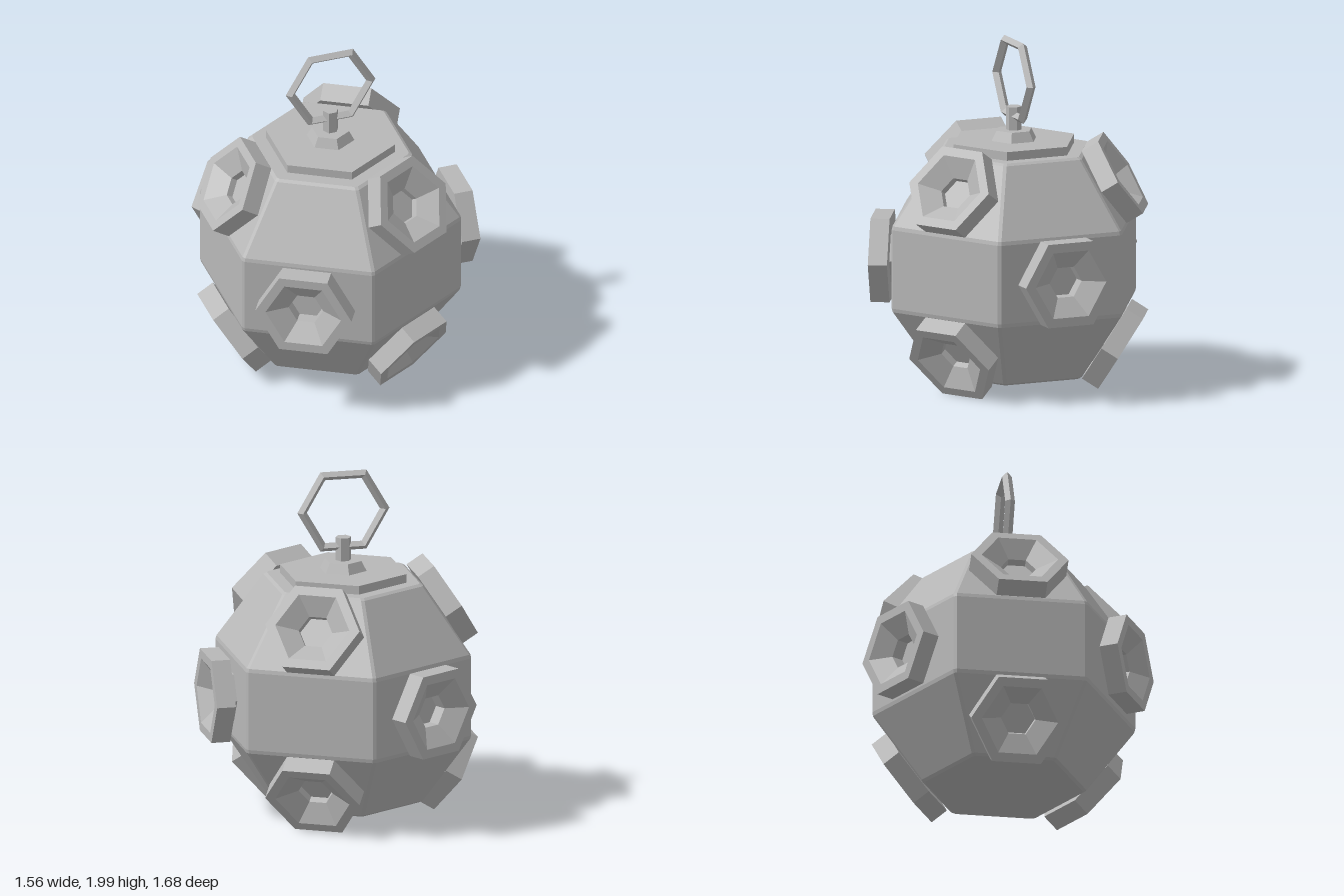
import * as THREE from 'three';

const AXIS_X = -0.027; // vertical axis of the body
const MID_Y = 0.725;   // height of the body's middle

const profile = (pairs) => pairs.map(([r, y]) => new THREE.Vector2(r, y));

// Six-sided body with small chamfers on every edge
function bodyGeometry() {
  const half = [[0.66, 0.228], [0.655, 0.25], [0.414, 0.633], [0.396, 0.645], [0, 0.645]];
  const lower = half.map(([a, y]) => [a, -y]).reverse();
  const points = profile([...lower, ...half]);
  const geometry = new THREE.LatheGeometry(points, 12);
  const pos = geometry.attributes.position;
  for (let i = 0; i < pos.count; i++) {
    const column = Math.floor(i / points.length);
    const apothem = points[i % points.length].x;
    const angle = (Math.floor(column / 2) + 0.5) * Math.PI / 3;
    const reach = Math.max(0, apothem * Math.tan(Math.PI / 6) - 0.012);
    const t = column % 2 ? reach : -reach;
    pos.setX(i, apothem * Math.sin(angle) + t * Math.cos(angle));
    pos.setZ(i, apothem * Math.cos(angle) - t * Math.sin(angle));
  }
  const flat = geometry.toNonIndexed();
  flat.computeVertexNormals();
  return flat;
}

export function createModel() {
  const model = new THREE.Group();
  model.name = 'hexagonalLantern';
  const grey = new THREE.MeshStandardMaterial({ color: 0xb8b8b8, flatShading: true });
  grey.name = 'grey';

  const add = (name, geometry, parent, x, y) => {
    const mesh = new THREE.Mesh(geometry, grey);
    mesh.name = name;
    mesh.position.set(x, y, 0);
    parent.add(mesh);
    return mesh;
  };

  add('body', bodyGeometry(), model, AXIS_X, MID_Y);

  // Lid, collar and post
  add('lidPlate', new THREE.CylinderGeometry(0.375, 0.375, 0.06, 6), model, AXIS_X, 1.39);
  add('collar', new THREE.CylinderGeometry(0.108, 0.14, 0.06, 6), model, AXIS_X, 1.447);
  const post = add('post', new THREE.CylinderGeometry(0.045, 0.045, 0.15, 6), model, AXIS_X, 1.537);
  post.rotation.y = Math.PI / 6;

  // Hanging ring
  add('ring', new THREE.TorusGeometry(0.242, 0.028, 4, 6), model, AXIS_X, 1.767);

  // Dished hexagonal pod on a short hollow neck
  const podGeometry = new THREE.LatheGeometry(profile([
    [0.158, -0.06], [0.158, 0], [0.28, 0], [0.28, 0.11],
    [0.22, 0.11], [0.1, 0.034], [0.1, -0.06],
  ]), 6);

  // Three tiers of three pods: distance from the axis, height, tilt, first side
  const tilt = Math.atan2(0.25, 0.4);
  const tiers = [
    ['upperPod', 0.533, MID_Y + 0.455, tilt, Math.PI],
    ['middlePod', 0.697, MID_Y, 0, 0],
    ['lowerPod', 0.533, MID_Y - 0.455, -tilt, Math.PI],
  ];
  for (const [name, distance, height, elevation, start] of tiers) {
    for (let k = 0; k < 3; k++) {
      const arm = new THREE.Group();
      arm.name = name + (k + 1);
      arm.position.x = AXIS_X;
      arm.rotation.y = start + k * Math.PI * 2 / 3;
      const pod = add('pod', podGeometry, arm, distance, height);
      pod.rotation.z = elevation - Math.PI / 2;
      model.add(arm);
    }
  }
  return model;
}
